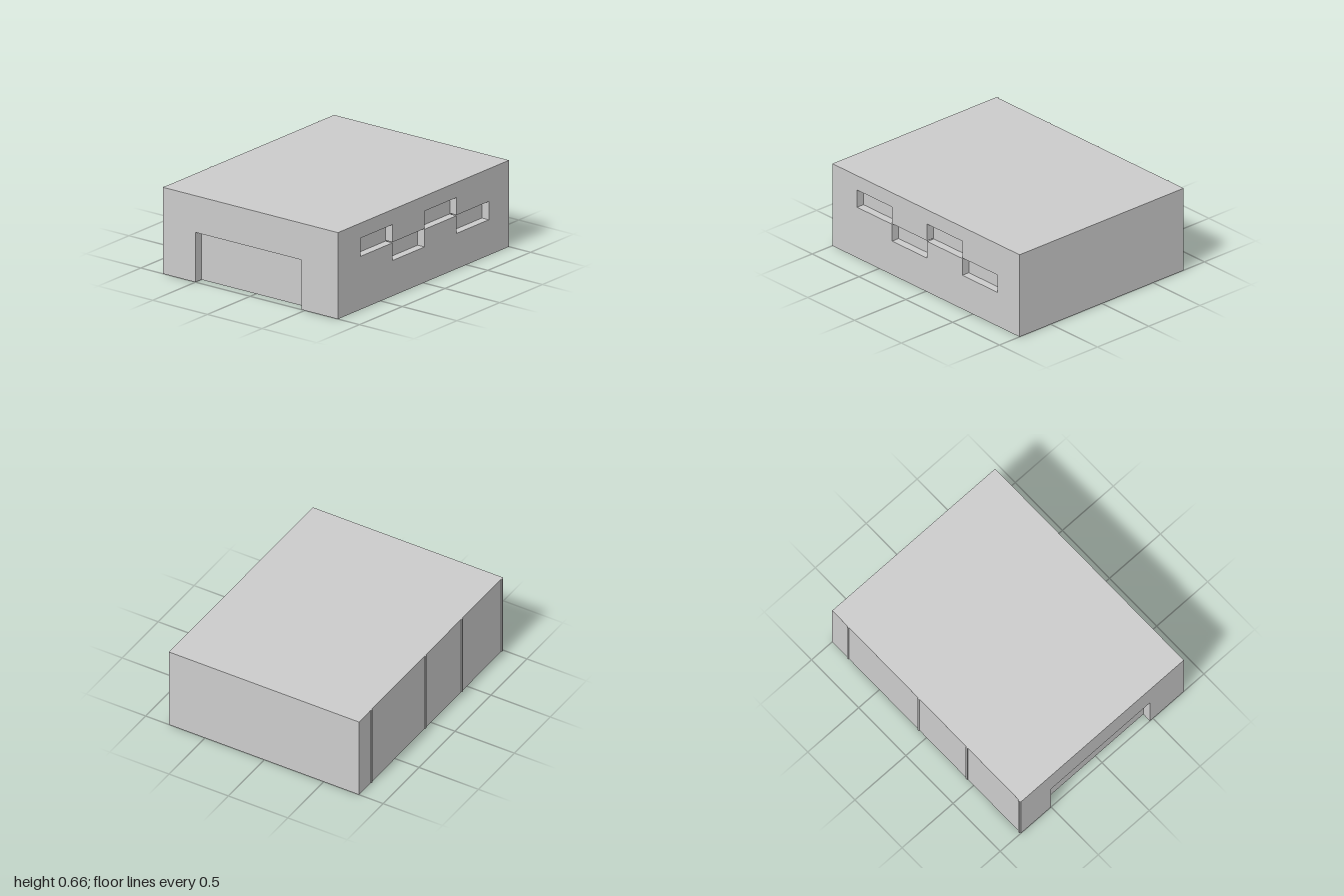
import * as THREE from 'three';

const H = 0.66, LEFT = -0.797, RIGHT = 0.803;
const DOOR_DEPTH = 0.07, WINDOW_DEPTH = 0.063;
const material = new THREE.MeshStandardMaterial({ color: 0xcccccc, flatShading: true });

function addMesh(group, name, geometry) {
  const mesh = new THREE.Mesh(geometry, material);
  mesh.name = name;
  group.add(mesh);
  return mesh;
}

function addBox(group, name, x0, x1, y0, y1, z0, z1) {
  const mesh = addMesh(group, name, new THREE.BoxGeometry(x1 - x0, y1 - y0, z1 - z0));
  mesh.position.set((x0 + x1) / 2, (y0 + y1) / 2, (z0 + z1) / 2);
}

const points = (list) => list.map(([x, y]) => new THREE.Vector2(x, y));
const extrude = (shape, depth) => new THREE.ExtrudeGeometry(shape, { depth, bevelEnabled: false });

export function createModel() {
  const group = new THREE.Group();
  group.name = 'building';
  const frontZ = 1 - DOOR_DEPTH, sideX = RIGHT - WINDOW_DEPTH;

  // Solid core, whose faces close the backs of the door and window recesses
  addBox(group, 'core', LEFT, sideX, 0, H, -1, frontZ);

  // Front wall with a wide doorway open to the ground
  const front = new THREE.Shape(points([
    [LEFT, 0], [-0.5, 0], [-0.5, 0.38], [0.47, 0.38], [0.47, 0], [RIGHT, 0], [RIGHT, H], [LEFT, H],
  ]));
  addMesh(group, 'frontWall', extrude(front, DOOR_DEPTH)).position.z = frontZ;

  // Side wall, drawn with -z running right; four staggered windows join into one zigzag opening
  const side = new THREE.Shape(points([[-frontZ, 0], [1, 0], [1, H], [-frontZ, H]]));
  const start = -0.737, width = 0.375;
  const top = [], bottom = [];
  for (let i = 0; i < 4; i++) {
    const upper = i % 2 === 0;
    const a = start + i * width, b = a + width;
    const yTop = upper ? 0.545 : 0.411, yBottom = upper ? 0.406 : 0.271;
    top.push([a, yTop], [b, yTop]);
    bottom.push([a, yBottom], [b, yBottom]);
  }
  side.holes.push(new THREE.Path(points([...top, ...bottom.reverse()])));
  const wall = addMesh(group, 'windowWall', extrude(side, WINDOW_DEPTH));
  wall.rotation.y = Math.PI / 2;
  wall.position.x = sideX;

  // Thin upright strips on the opposite wall
  for (const z of [-0.83, -0.08, 0.43, 0.985]) {
    addBox(group, 'wallStrip', -0.803, LEFT, 0, H, z - 0.008, z + 0.008);
  }
  return group;
}
